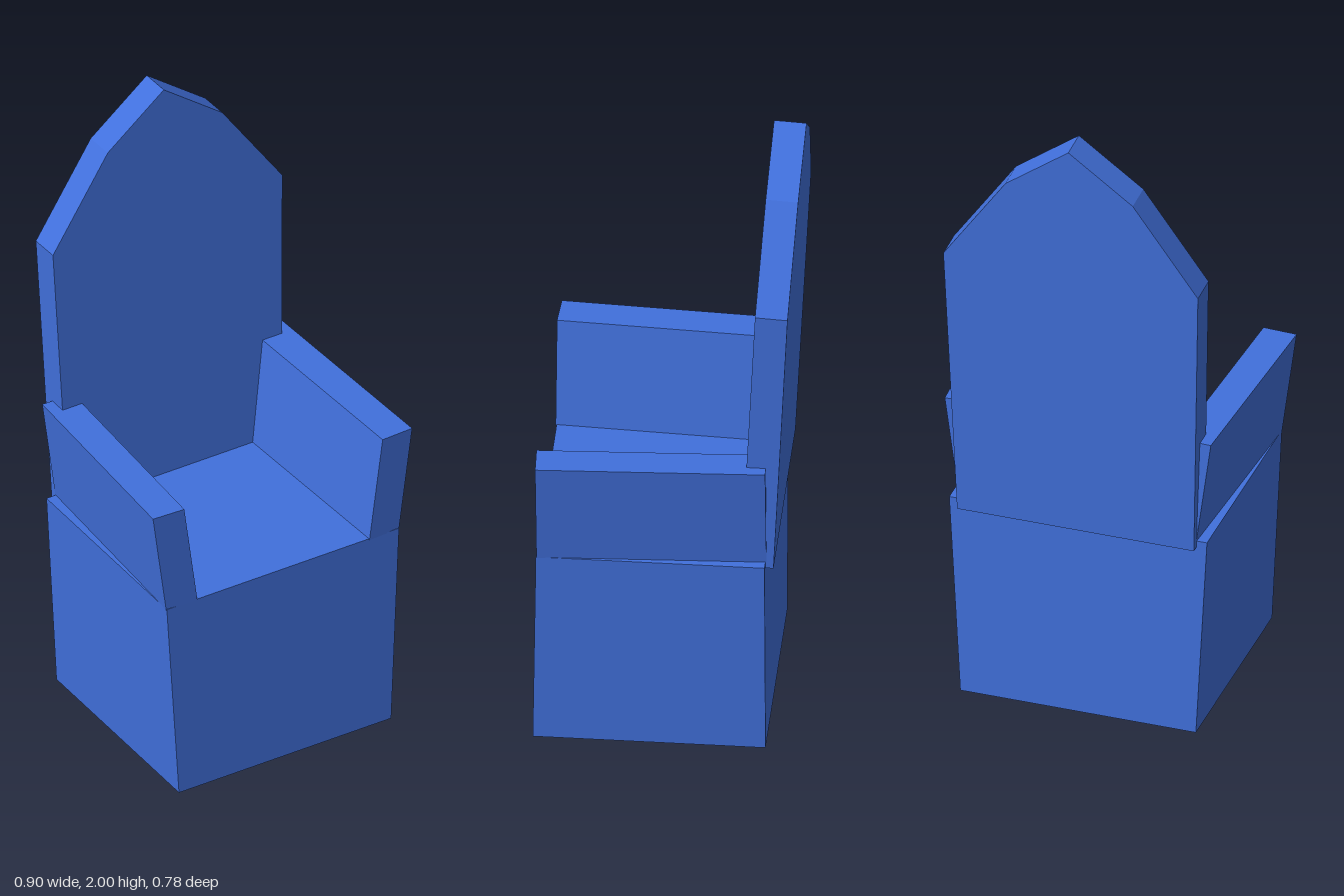
import * as THREE from 'three';

const material = new THREE.MeshStandardMaterial({ color: 0x4170dc, flatShading: true });

// Box whose corners are placed by a rule: place(sx, sy, sz) with each sign -1 or 1.
function block(name, place) {
  const geometry = new THREE.BoxGeometry(2, 2, 2).toNonIndexed();
  const p = geometry.attributes.position;
  for (let i = 0; i < p.count; i++) {
    p.setXYZ(i, ...place(Math.sign(p.getX(i)), Math.sign(p.getY(i)), Math.sign(p.getZ(i))));
  }
  geometry.computeVertexNormals();
  const mesh = new THREE.Mesh(geometry, material);
  mesh.name = name;
  return mesh;
}

export function createModel() {
  const chair = new THREE.Group();
  chair.name = 'throneChair';

  // Solid seat base, widening towards the top
  chair.add(block('seatBase', (sx, sy, sz) => {
    const top = sy > 0;
    return [sx * (top ? 0.405 : 0.37), top ? 0.667 : 0, sz > 0 ? (top ? 0.38 : 0.392) : -0.302];
  }));

  // Armrests lean outwards and open towards the front
  for (const side of [1, -1]) {
    chair.add(block(side > 0 ? 'leftArmrest' : 'rightArmrest', (sx, sy, sz) => {
      const outer = sx * side > 0;
      const x = (outer ? 0.452 : 0.346) - (sy < 0 ? 0.046 : 0) - (sz < 0 ? 0.034 : 0);
      const z = (sz > 0 ? 0.381 : -0.302) + (outer ? -0.003 : 0.002);
      return [side * x, sy > 0 ? 1.01 : 0.664, z];
    }));
  }

  // Tall pointed backrest, leaning slightly back
  const outline = new THREE.Shape([
    [-0.372, 0], [0.372, 0], [0.4, 0.911], [0.2, 1.201], [0, 1.352], [-0.2, 1.201], [-0.4, 0.911],
  ].map(([x, y]) => new THREE.Vector2(x, y)));
  const backrest = new THREE.Mesh(
    new THREE.ExtrudeGeometry(outline, { depth: 0.097, bevelEnabled: false }).translate(0, 0, -0.097),
    material,
  );
  backrest.name = 'backrest';
  backrest.position.set(0, 0.65, -0.229);
  backrest.rotation.x = -0.0487;
  chair.add(backrest);

  return chair;
}
